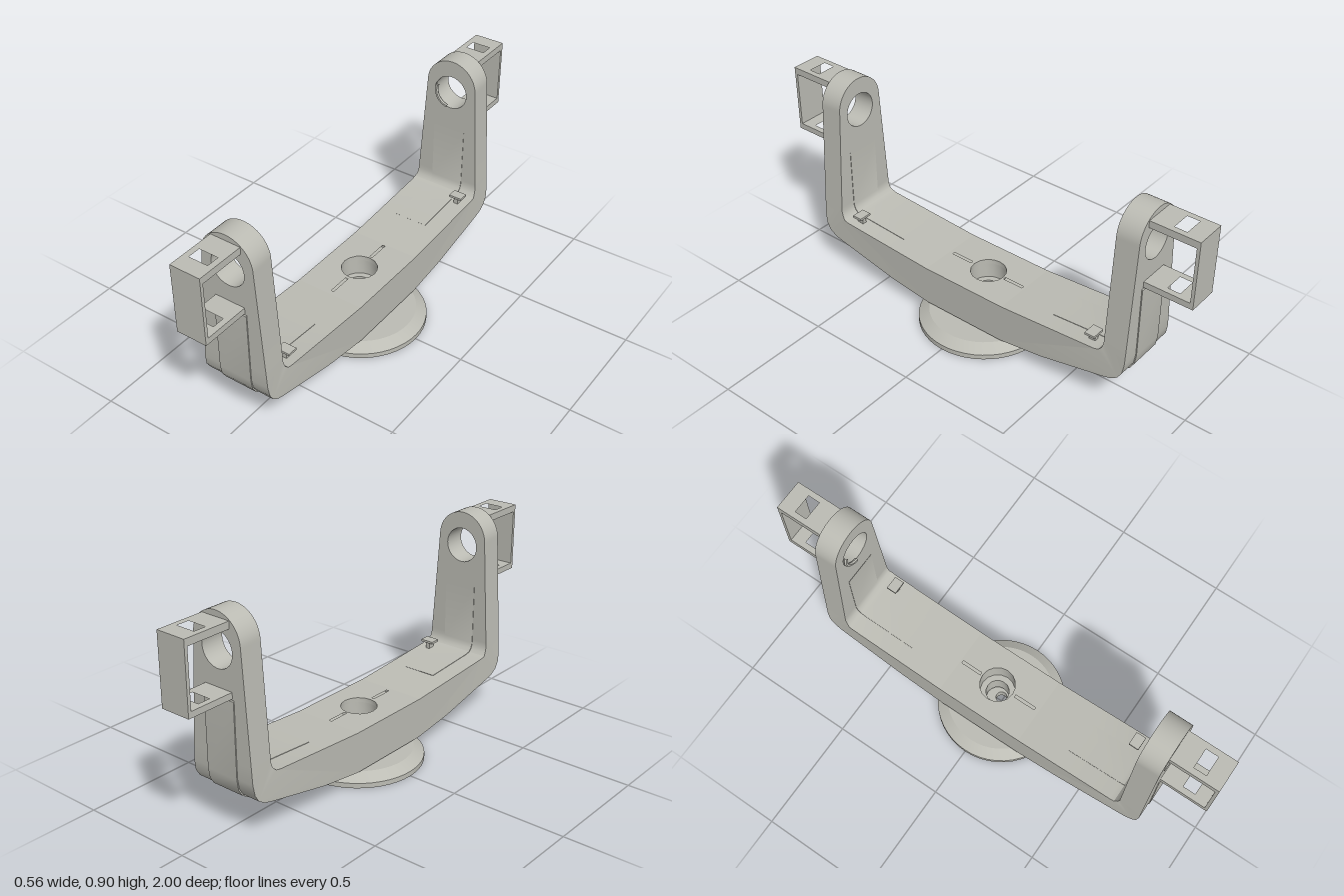
import * as THREE from 'three';
import { toCreasedNormals } from 'three/addons/utils/BufferGeometryUtils.js';

const grey = new THREE.MeshStandardMaterial({ color: 0xbcbcb4 });
grey.name = 'warm grey';

const CX = -0.015;   // centre line of the yoke
const HALF = 0.155;  // half width of the yoke at the bottom

function add(parent, name, geometry) {
  const mesh = new THREE.Mesh(toCreasedNormals(geometry, 0.5), grey);
  mesh.name = name;
  parent.add(mesh);
  return mesh;
}

function box(parent, name, w, h, d, x, y, z) {
  return add(parent, name, new THREE.BoxGeometry(w, h, d).translate(x, y, z));
}

const polygon = pts => new THREE.Shape(pts.map(p => new THREE.Vector2(...p)));
const rect = (x0, x1, z0, z1) => [[x0, -z0], [x1, -z0], [x1, -z1], [x0, -z1]];
const circle = (r, n, z) => Array.from({ length: n }, (_, i) => {
  const a = (i / n) * Math.PI * 2;
  return [r * Math.cos(a), r * Math.sin(a) - z];
});

// Side profile in (z, y), pushed through the width of the yoke
function sideExtrude(pts, width) {
  return new THREE.ExtrudeGeometry(polygon(pts), { depth: width, bevelEnabled: false })
    .rotateY(-Math.PI / 2).translate(width / 2, 0, 0);
}

// Horizontal plate with holes, outlines in (x, -z)
function plate(outline, holes, y0, y1) {
  const shape = polygon(outline);
  shape.holes = holes.map(polygon);
  return new THREE.ExtrudeGeometry(shape, { depth: y1 - y0, bevelEnabled: false })
    .rotateX(-Math.PI / 2).translate(0, y0, 0);
}

// Thin cover following a side profile, shifted outward by (dz, dy)
function cover(pts, dz, dy) {
  const outer = pts.map(([z, y]) => [z + dz, y + dy]).reverse();
  return sideExtrude([...pts, ...outer], 0.15);
}

const halfAt = y => HALF - Math.max(0, y - 0.22) * 0.0655;

const outerLine = [[0.4, 0.09], [0.7, 0.155], [0.735, 0.165], [0.765, 0.185], [0.783, 0.215], [0.79, 0.26]];
const innerLine = [[0.69, 0.31], [0.683, 0.288], [0.67, 0.275], [0.65, 0.27], [0.4, 0.253]];

// One half of the yoke: sloping bar, corner, arm and end bracket
function makeEnd(clipSide) {
  const end = new THREE.Group();

  const bar = sideExtrude(
    [[0.2, 0.063], ...outerLine, [0.79, 0.33], [0.69, 0.33], ...innerLine, [0.2, 0.24]], HALF * 2);
  const p = bar.attributes.position;
  for (let i = 0; i < p.count; i++) {
    if (p.getZ(i) > 0.68) p.setX(i, p.getX(i) * halfAt(p.getY(i)) / HALF);
  }
  add(end, 'slopingBar', bar);

  // Tapered arm with round head and pivot hole
  const arm = new THREE.Shape();
  const r = halfAt(0.785);
  arm.moveTo(-halfAt(0.33), 0.33);
  arm.lineTo(halfAt(0.33), 0.33);
  arm.lineTo(r, 0.785);
  arm.absarc(0, 0.785, r, 0, Math.PI, false);
  arm.closePath();
  const hole = new THREE.Path();
  hole.absarc(0, 0.755, 0.076, 0, Math.PI * 2, true);
  arm.holes.push(hole);
  add(end, 'arm', new THREE.ExtrudeGeometry(arm, { depth: 0.1, bevelEnabled: false, curveSegments: 14 })
    .translate(0, 0, 0.69));

  // Raised covers outside and inside the corner
  add(end, 'outerCover', cover([...outerLine, [0.79, 0.575]], 0.004, -0.004));
  add(end, 'innerCover', cover([[0.69, 0.575], ...innerLine], -0.002, 0.002));

  // Square end bracket
  const bracket = new THREE.Group();
  bracket.name = 'endBracket';
  end.add(bracket);
  for (const [name, y0, y1] of [['bracketTop', 0.848, 0.878], ['bracketBottom', 0.58, 0.606]]) {
    add(bracket, name, plate(rect(-0.067, 0.067, 0.785, 0.99), [rect(-0.042, 0.042, 0.877, 0.93)], y0, y1));
  }
  box(bracket, 'bracketFace', 0.134, 0.298, 0.014, 0, 0.729, 0.993);

  // Small cable clip beside the inner cover
  box(end, 'clipPost', 0.02, 0.03, 0.03, clipSide * 0.105, 0.28, 0.615);
  box(end, 'clipTab', 0.06, 0.01, 0.045, clipSide * 0.105, 0.3, 0.615);
  return end;
}

export function createModel() {
  const model = new THREE.Group();
  model.name = 'yokeMount';

  // Dished round foot
  const foot = [[0.024, 0.01], [0.255, 0.01], [0.262, 0], [0.28, 0], [0.28, 0.022],
    [0.235, 0.053], [0.024, 0.053], [0.024, 0.01]];
  add(model, 'foot', new THREE.LatheGeometry(foot.map(q => new THREE.Vector2(...q)), 48));

  const yoke = new THREE.Group();
  yoke.name = 'yoke';
  yoke.position.x = CX;
  model.add(yoke);

  // Flat middle of the bar, with a stepped bolt hole and two slots
  const outline = rect(-HALF, HALF, -0.2, 0.2);
  const slots = [rect(-0.006, 0.006, -0.19, -0.095), rect(-0.006, 0.006, 0.08, 0.18)];
  add(yoke, 'middleTop', plate(outline, [circle(0.076, 16, -0.01), ...slots], 0.22, 0.24));
  add(yoke, 'middleCore', plate(outline, [circle(0.076, 16, -0.01)], 0.15, 0.22));
  add(yoke, 'middleBottom', plate(outline, [circle(0.05, 16, -0.01)], 0.063, 0.15));

  const front = makeEnd(1);
  front.name = 'frontEnd';
  const back = makeEnd(-1);
  back.name = 'backEnd';
  back.rotation.y = Math.PI;
  yoke.add(front, back);

  // Pivot lip on the inner side of the back arm
  const lip = new THREE.TorusGeometry(0.068, 0.008, 6, 16, Math.PI * 0.6);
  lip.rotateZ(Math.PI * 0.85).translate(0, 0.755, -0.684);
  add(yoke, 'pivotLip', lip);

  return model;
}
